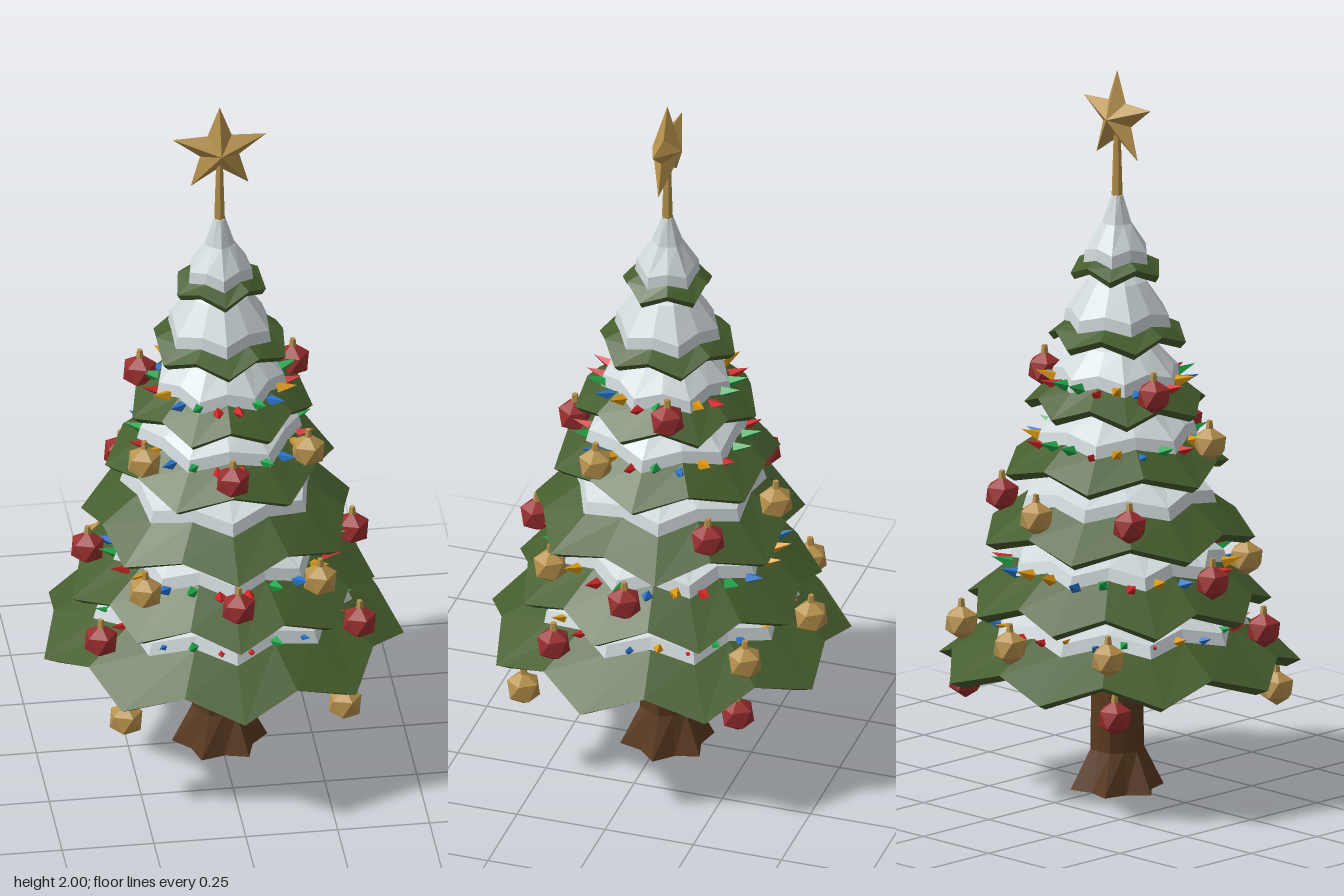
import * as THREE from 'three';

const mat = (name, color) => {
  const m = new THREE.MeshStandardMaterial({ color, flatShading: true });
  m.name = name;
  return m;
};

export function createModel() {
  const needles = mat('needle green', 0x465e2e);
  const snow = mat('snow white', 0xcfd8db);
  const bark = mat('bark brown', 0x59391f);
  const gold = mat('gold', 0xb8924c);
  const red = mat('bauble red', 0x9a2e2e);
  const bulbs = [
    mat('light red', 0xd22424), mat('light green', 0x22a84c),
    mat('light blue', 0x2a74cc), mat('light yellow', 0xdc980f),
  ];

  const root = new THREE.Group();
  root.name = 'decoratedTree';
  const tree = new THREE.Group();
  tree.name = 'tree';
  tree.position.z = -0.012;
  root.add(tree);

  const add = (parent, name, geo, material, x = 0, y = 0, z = 0) => {
    const m = new THREE.Mesh(geo, material);
    m.name = name;
    m.position.set(x, y, z);
    parent.add(m);
    return m;
  };

  // Pointed ring: n tips at radius r, valleys pulled in and lifted
  const ring = (n, turn, r, y, valley = 1, lift = 0) =>
    Array.from({ length: 2 * n }, (_, j) => {
      const a = turn + (j * Math.PI) / n;
      const k = j % 2 ? valley : 1;
      return new THREE.Vector3(Math.sin(a) * r * k, y + (j % 2 ? lift : 0), Math.cos(a) * r * k);
    });

  // Skin a list of rings ordered from the top outwards and down
  const loft = (rings) => {
    const pts = [];
    for (let i = 0; i < rings.length - 1; i++) {
      const up = rings[i], low = rings[i + 1];
      for (let j = 0; j < up.length; j++) {
        const k = (j + 1) % up.length;
        pts.push(low[j], low[k], up[k], low[j], up[k], up[j]);
      }
    }
    const g = new THREE.BufferGeometry().setFromPoints(pts);
    g.computeVertexNormals();
    return g;
  };

  // Trunk with six flared roots
  add(tree, 'trunk', loft([
    ring(6, Math.PI / 2, 0.068, 0.56, 0.95),
    ring(6, Math.PI / 2, 0.075, 0.11, 0.92),
    ring(6, Math.PI / 2, 0.13, 0, 0.74),
    ring(6, Math.PI / 2, 0, 0),
  ]), bark);

  // Branch tiers: tips, turn, radius, base height, rise to the shoulder, rise to the neck
  const tiers = [
    [9, 0, 0.497, 0.325, 0.125, 0.25],
    [9, 0, 0.418, 0.5, 0.125, 0.25],
    [7, 0, 0.375, 0.69, 0.115, 0.23],
    [6, Math.PI / 6, 0.312, 0.873, 0.1, 0.23],
    [7, Math.PI, 0.252, 1.05, 0.085, 0.22],
    [6, 0, 0.192, 1.235, 0.06, 0.21],
    [5, 0, 0.127, 1.42, 0.05, 0.16],
  ];
  tiers.forEach(([n, t, R, y, shoulder, neck], i) => {
    const lift = 0.02 + 0.06 * R;
    const last = i === tiers.length - 1;
    add(tree, 'branchTier' + (i + 1), loft([
      ring(n, t, R * 0.2, y + neck),
      ring(n, t, R * 0.3, y + neck * 0.84),
      ring(n, t, R * 0.68, y + shoulder, 0.94, lift * 0.4),
      ring(n, t, R, y + 0.018, 0.9, lift),
      ring(n, t, R * 0.92, y, 0.9, lift),
      ring(n, t, R * 0.55, y + shoulder * 0.72, 0.94, lift * 0.4),
      ring(n, t, R * 0.14, y + neck * 0.62),
    ]), needles);

    // Snow blanket around the shoulder, or a tapering cap on the highest tier
    const top = last
      ? [ring(n, t, 0, 1.66), ring(n, t, 0.016, 1.65), ring(n, t, 0.042, 1.575, 0.9)]
      : [ring(n, t, R * 0.2, y + neck * 0.84 + 0.035),
        ring(n, t, R * 0.42, y + neck * 0.76 + 0.02, 0.95)];
    const rim = last ? 0.092 : R * (i === 5 ? 0.78 : 0.72);
    const edge = y + shoulder;
    add(tree, 'snow' + (i + 1), loft([
      ...top,
      ring(n, t, rim * 0.96, edge + 0.03, 0.88, lift * 0.5),
      ring(n, t, rim, edge - 0.004, 0.88, lift * 0.5),
      ring(n, t, rim * 0.8, edge - 0.005, 0.9, lift * 0.4),
    ]), snow);
  });

  // Light strings, mirrored left and right: bulbs per side, radius, height
  const bulbGeo = new THREE.ConeGeometry(0.017, 0.055, 4);
  const up = new THREE.Vector3(0, 1, 0);
  [[13, 0.335, 0.475], [12, 0.315, 0.637], [10, 0.232, 0.98], [10, 0.195, 1.146]]
    .forEach(([count, r, y], s) => {
      const string = new THREE.Group();
      string.name = 'lightString' + (s + 1);
      tree.add(string);
      for (let k = 0; k < count; k++) {
        for (const side of [1, -1]) {
          const a = (side * (k + 0.5) * Math.PI) / count;
          const b = add(string, 'bulb', bulbGeo, bulbs[k % 4],
            Math.sin(a) * r, y + (k % 2 ? 0.008 : -0.004), Math.cos(a) * r);
          b.quaternion.setFromUnitVectors(up,
            new THREE.Vector3(Math.sin(a), 0.35, Math.cos(a)).normalize());
        }
      }
    });

  // Baubles with a small hanger; those off the centre line are mirrored
  const ballGeo = new THREE.IcosahedronGeometry(0.05).rotateZ(-Math.atan(2 / (1 + Math.sqrt(5))));
  const hangerGeo = new THREE.CylinderGeometry(0.008, 0.011, 0.022, 5);
  [
    [red, 0.352, 0.465, 0.195], [gold, 0.28, 0.465, -0.325], [gold, 0, 0.465, -0.42],
    [gold, 0.298, 0.275, 0.298], [red, 0.285, 0.3, -0.305],
    [red, 0, 0.637, 0.358], [gold, 0.238, 0.637, 0.242], [red, 0.36, 0.637, -0.008],
    [red, 0.243, 0.807, -0.207], [gold, 0, 0.807, -0.32],
    [red, 0, 0.973, 0.25], [gold, 0.223, 0.973, 0.118],
    [red, 0.208, 1.14, -0.08],
  ].forEach(([material, px, y, z]) => {
    for (const side of px ? [1, -1] : [1]) {
      const bauble = new THREE.Group();
      bauble.name = 'bauble';
      bauble.position.set(px * side, y, z);
      add(bauble, 'ball', ballGeo, material);
      add(bauble, 'hanger', hangerGeo, gold, 0, 0.055, 0);
      root.add(bauble);
    }
  });

  // Faceted five-pointed star on a slim post
  add(tree, 'starPost', new THREE.CylinderGeometry(0.01, 0.017, 0.22, 6), gold, 0, 1.71, 0);
  const facets = [];
  const corner = (j) => {
    const a = (j * Math.PI) / 5, r = j % 2 ? 0.056 : 0.134;
    return new THREE.Vector3(-Math.sin(a) * r, Math.cos(a) * r, 0);
  };
  const front = new THREE.Vector3(0, 0, 0.042), back = new THREE.Vector3(0, 0, -0.042);
  for (let j = 0; j < 10; j++) {
    facets.push(front, corner(j), corner(j + 1), back, corner(j + 1), corner(j));
  }
  const starGeo = new THREE.BufferGeometry().setFromPoints(facets);
  starGeo.computeVertexNormals();
  add(tree, 'star', starGeo, gold, 0, 1.866, 0);

  return root;
}
